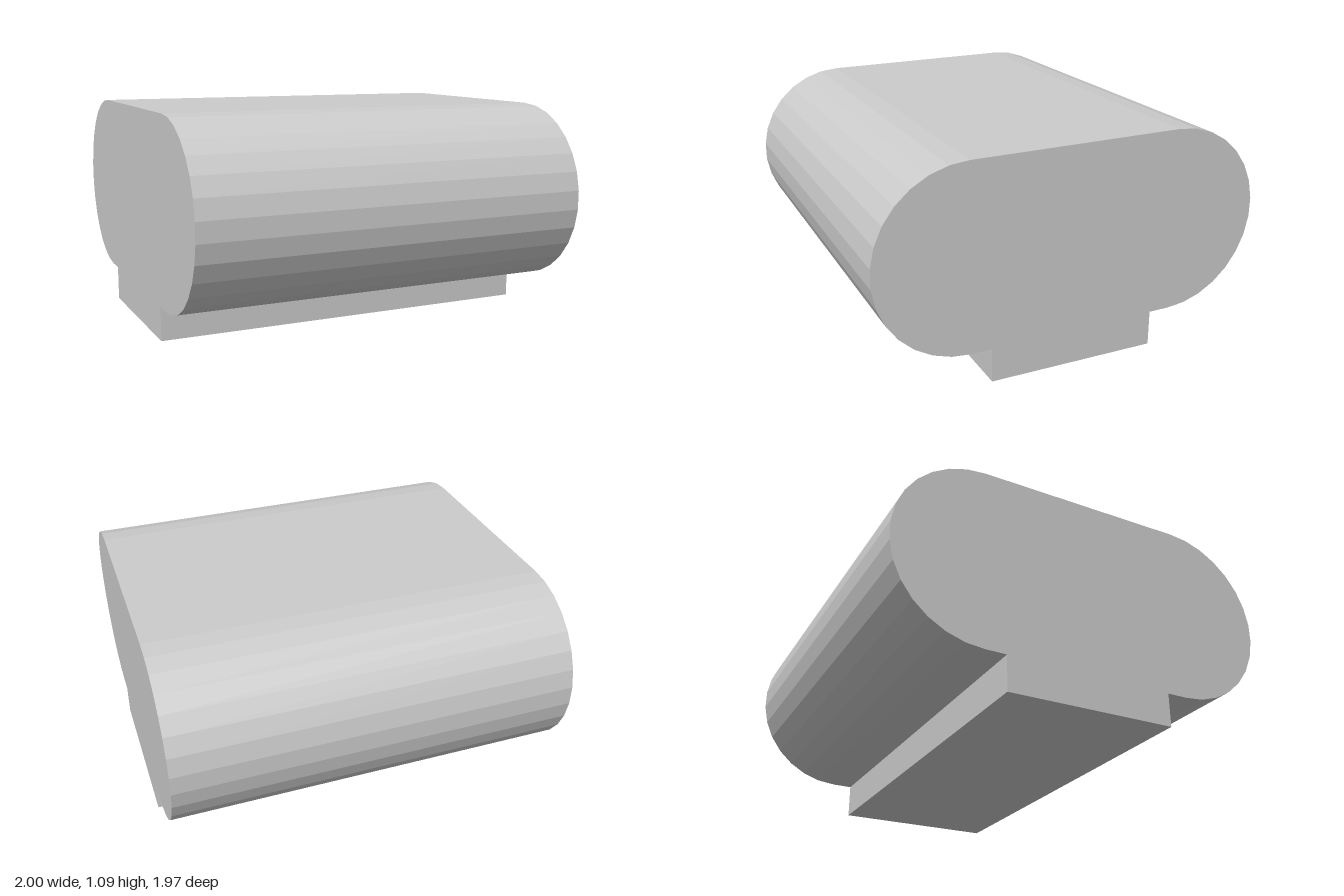
import * as THREE from 'three';

const LENGTH = 1.99;      // along x
const RADIUS = 0.457;     // rounded ends
const MID_Y = 0.628;      // height of the body's axis
const HALF_FLAT = 0.528;  // half the straight part of the body
const HALF_BASE = 0.425;  // half the width of the foot
const SEGMENTS = 15;      // facets per rounded end
const SLOPE = 0.008;      // the body rises very slightly to the back

// Outline point of the tilted body; s runs towards the back
const bodyPoint = (s, y) => new THREE.Vector2(s, y + SLOPE * s);

// Faceted half circle, going round counter-clockwise from the start angle
function roundedEnd(centre, start) {
  const points = [];
  for (let i = 0; i <= SEGMENTS; i++) {
    const a = start + (Math.PI * i) / SEGMENTS;
    points.push(bodyPoint(centre + RADIUS * Math.cos(a), MID_Y + RADIUS * Math.sin(a)));
  }
  return points;
}

export function createModel() {
  const model = new THREE.Group();
  model.name = 'roundedBlock';

  // Stadium-shaped section standing on a rectangular foot
  const outline = new THREE.Shape([
    new THREE.Vector2(-HALF_BASE, 0),
    new THREE.Vector2(HALF_BASE, 0),
    bodyPoint(HALF_BASE, MID_Y - RADIUS),
    ...roundedEnd(HALF_FLAT, -Math.PI / 2),
    ...roundedEnd(-HALF_FLAT, Math.PI / 2),
    bodyPoint(-HALF_BASE, MID_Y - RADIUS),
  ]);

  // Extruded sideways, then turned so that it runs along x
  const geometry = new THREE.ExtrudeGeometry(outline, { depth: LENGTH, bevelEnabled: false });
  geometry.translate(0, 0, -LENGTH / 2);
  geometry.rotateY(Math.PI / 2);

  const material = new THREE.MeshStandardMaterial({ color: 0xcccccc, flatShading: true });
  const body = new THREE.Mesh(geometry, material);
  body.name = 'bodyWithFoot';
  body.rotation.y = 0.005; // slight yaw
  model.add(body);

  return model;
}
